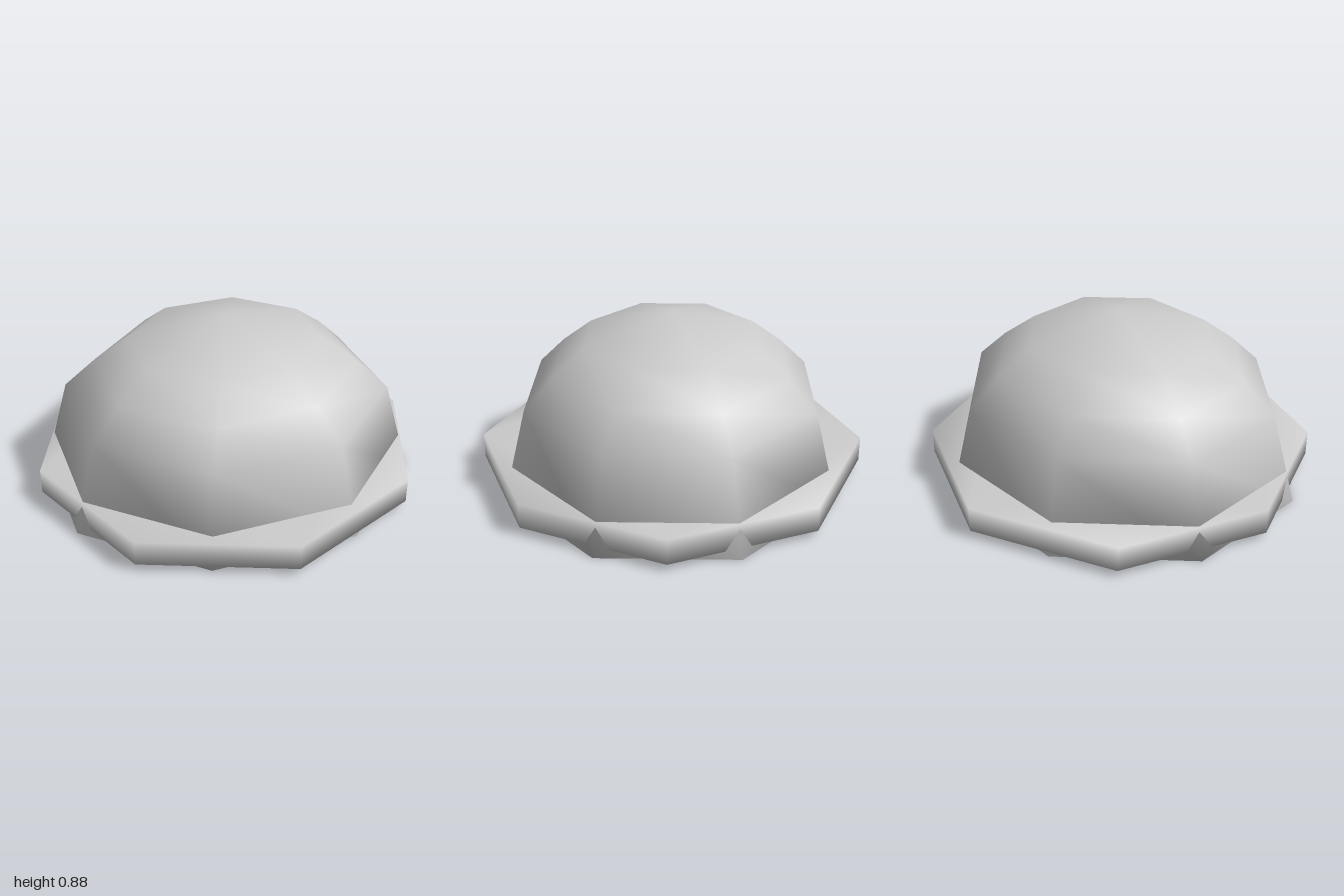
import * as THREE from 'three';
import { mergeGeometries, mergeVertices } from 'three/addons/utils/BufferGeometryUtils.js';

const SIDES = 8;

// regular octagon outline, turned by the given angle
function octagon(radius, turn) {
  const points = [];
  for (let i = 0; i < SIDES; i++) {
    const a = turn + (i / SIDES) * Math.PI * 2;
    points.push(new THREE.Vector2(radius * Math.cos(a), radius * Math.sin(a)));
  }
  return new THREE.Shape(points);
}

// weld the corners so that shading is smooth over every edge
function smooth(geometries) {
  for (const g of geometries) {
    g.deleteAttribute('normal');
    g.deleteAttribute('uv');
  }
  const welded = mergeVertices(mergeGeometries(geometries), 1e-4);
  welded.computeVertexNormals();
  return welded;
}

export function createModel() {
  const group = new THREE.Group();
  group.name = 'domedCap';
  const material = new THREE.MeshStandardMaterial({ color: 0xcccccc, side: THREE.DoubleSide });
  const add = (name, geometry) => {
    const mesh = new THREE.Mesh(geometry, material);
    mesh.name = name;
    group.add(mesh);
  };

  // dome: eight-sided half sphere, slightly wider than deep, closed underneath
  const profile = [[1, 0], [0.866, 0.464], [0.7, 0.614], [0.511, 0.748], [0, 0.881]]
    .map(([r, y]) => new THREE.Vector2(r, y));
  const shell = new THREE.LatheGeometry(profile, SIDES, Math.PI / 8);
  const base = new THREE.ShapeGeometry(octagon(1, Math.PI / 8)).rotateX(Math.PI / 2);
  for (const g of [shell, base]) g.scale(0.974, 1, 0.9);
  add('dome', smooth([shell, base]));

  // brim: flat octagonal slab with its corners on the axes
  const brim = new THREE.ExtrudeGeometry(octagon(1, 0), { depth: 0.13, bevelEnabled: false });
  brim.rotateX(-Math.PI / 2).translate(0, 0.037, 0);
  add('brim', smooth([brim]));

  return group;
}
